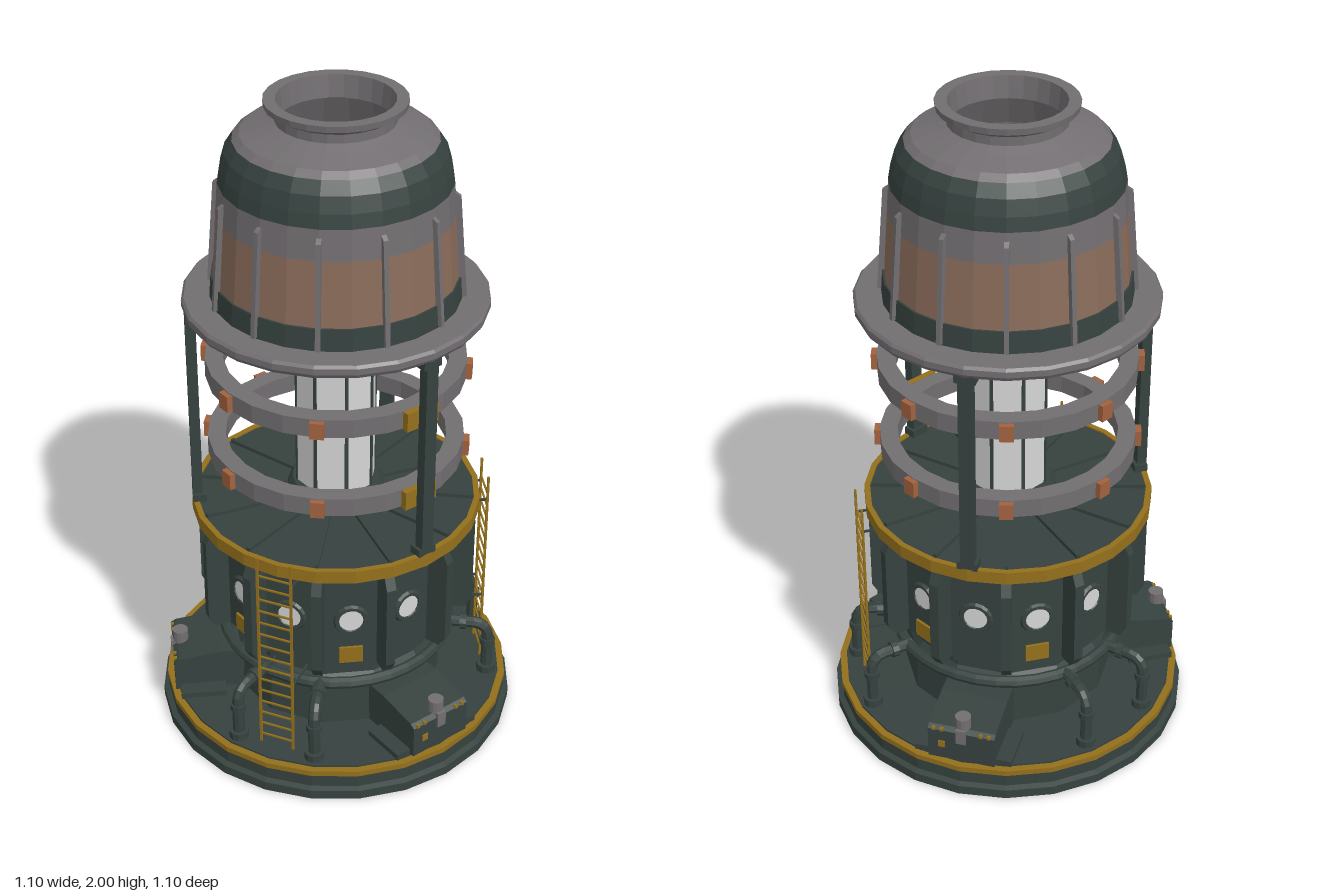
import * as THREE from 'three';

const mat = (name, color) => {
  const m = new THREE.MeshStandardMaterial({ color });
  m.name = name;
  return m;
};

export function createModel() {
  const dark = mat('dark green steel', 0x36423f);
  const grey = mat('grey metal', 0x726e71);
  const tan = mat('brown band', 0x8a6c5a);
  const gold = mat('gold trim', 0x94701c);
  const copper = mat('copper', 0xa3623f);
  const pale = mat('pale glass', 0xd6d6d6);

  const root = new THREE.Group();
  const DEG = Math.PI / 180;

  // Adds a flat-faceted mesh
  const add = (parent, name, geo, m, x = 0, y = 0, z = 0) => {
    const g = geo.index ? geo.toNonIndexed() : geo;
    g.computeVertexNormals();
    const mesh = new THREE.Mesh(g, m);
    mesh.name = name;
    mesh.position.set(x, y, z);
    parent.add(mesh);
    return mesh;
  };
  const lathe = (pts, sides = 24, start = 0) =>
    new THREE.LatheGeometry(pts.map(p => new THREE.Vector2(p[0], p[1])), sides, start * DEG);
  // Closed ring with a rectangular section
  const ring = (ri, ro, y0, y1, sides = 24) =>
    lathe([[ri, y0], [ro, y0], [ro, y1], [ri, y1], [ri, y0]], sides);
  const box = (w, h, d) => new THREE.BoxGeometry(w, h, d);
  const cyl = (r, h, n = 10) => new THREE.CylinderGeometry(r, r, h, n);
  // Radial plate given by (radius, height) points
  const fin = (pts, t) => {
    const s = new THREE.Shape(pts.map(p => new THREE.Vector2(p[0], p[1])));
    return new THREE.ExtrudeGeometry(s, { depth: t, bevelEnabled: false })
      .translate(0, 0, -t / 2).rotateY(-Math.PI / 2);
  };
  // Group whose local +z points outward at the given angle
  const spoke = (name, deg) => {
    const g = new THREE.Group();
    g.name = name;
    g.rotation.y = deg * DEG;
    root.add(g);
    return g;
  };
  const every = (n, start, fn) => {
    for (let i = 0; i < n; i++) fn(start + i * 360 / n, i);
  };

  // Stepped, hollow base
  add(root, 'base', lathe([[0.345, 0], [0.55, 0], [0.55, 0.03], [0.533, 0.035], [0.533, 0.075],
    [0.515, 0.08], [0.515, 0.1], [0.3, 0.1], [0.32, 0.06], [0.345, 0.05], [0.345, 0]]), dark);
  add(root, 'baseTrim', ring(0.512, 0.536, 0.076, 0.094), gold);

  // Lower body, then the twelve-sided drum with its inner wall
  add(root, 'lowerBody', lathe([[0.325, 0.1], [0.32, 0.24], [0.3, 0.27], [0.3, 0.3],
    [0.325, 0.305], [0.325, 0.345], [0.357, 0.35]], 12, 15), dark);
  add(root, 'drum', lathe([[0.357, 0.35], [0.357, 0.7], [0.4, 0.71], [0.425, 0.715]], 12, 15), dark);
  add(root, 'drumInside', lathe([[0.1, 0.75], [0.1, 0.7], [0.3, 0.69], [0.3, 0.1]]), dark);
  add(root, 'deck', lathe([[0.42, 0.712], [0.425, 0.747], [0.1, 0.75]]), dark);
  add(root, 'deckUnderside', lathe([[0.35, 0.7], [0.42, 0.712]]), dark);
  add(root, 'deckTrim', ring(0.415, 0.432, 0.712, 0.752), gold);
  add(root, 'columnFloor', cyl(0.09, 0.02, 24), dark, 0, 0.76, 0);

  // Windows between chamfered fins
  every(12, 0, (a, i) => {
    const w = spoke('windowBay', a);
    add(w, 'windowFrame', new THREE.TorusGeometry(0.043, 0.01, 6, 16), dark, 0, 0.515, 0.347);
    add(w, 'windowGlass', cyl(0.038, 0.008, 16).rotateX(Math.PI / 2), pale, 0, 0.515, 0.348);
    if (i % 2) add(w, 'warningPlate', box(0.07, 0.055, 0.008), gold, 0, 0.388, 0.349);
    const f = spoke('drumRib', a + 15);
    add(f, 'drumFin', fin([[0.3, 0.35], [0.4, 0.35], [0.422, 0.385], [0.422, 0.655],
      [0.4, 0.7], [0.3, 0.7]], 0.03), dark);
    add(f, 'deckRib', box(0.012, 0.012, 0.26), dark, 0, 0.754, 0.28);
  });

  // Pipe collar with three pairs of drop pipes
  add(root, 'pipeCollar', new THREE.TorusGeometry(0.35, 0.018, 8, 36).rotateX(Math.PI / 2), dark, 0, 0.28, 0);
  const path = new THREE.CatmullRomCurve3([[0.34, 0.28], [0.41, 0.28], [0.45, 0.277], [0.473, 0.255],
    [0.477, 0.21], [0.477, 0.1]].map(p => new THREE.Vector3(0, p[1], p[0])));
  [60, 180, 300].forEach(a => [-15, 15].forEach(o => {
    const p = spoke('dropPipe', a + o);
    add(p, 'pipe', new THREE.TubeGeometry(path, 16, 0.018, 8), dark);
    add(p, 'pipeFoot', cyl(0.03, 0.025), dark, 0, 0.112, 0.477);
    add(p, 'pipeJoint', cyl(0.024, 0.02), dark, 0, 0.215, 0.477);
    add(p, 'pipeSleeve', cyl(0.025, 0.02).rotateX(Math.PI / 2), dark, 0, 0.28, 0.4);
  }));

  // Equipment boxes and tall posts
  every(3, 0, a => {
    const b = spoke('equipment', a);
    add(b, 'plinth', box(0.3, 0.02, 0.14), dark, 0, 0.108, 0.43);
    add(b, 'equipmentBox', fin([[0.3, 0.1], [0.515, 0.1], [0.515, 0.205], [0.5, 0.215],
      [0.37, 0.235], [0.3, 0.235]], 0.205), dark);
    add(b, 'vent', cyl(0.024, 0.05, 12), grey, 0, 0.23, 0.49);
    add(b, 'ventBracket', box(0.03, 0.05, 0.016), grey, 0, 0.195, 0.513);
    add(b, 'label', box(0.02, 0.022, 0.006), gold, -0.06, 0.155, 0.516);
    [-0.085, -0.06, 0.06, 0.085].forEach(x =>
      add(b, 'knob', box(0.01, 0.01, 0.01), gold, x, 0.208, 0.512));
    const p = spoke('postSet', a);
    add(p, 'post', box(0.04, 0.64, 0.03), dark, 0, 1.07, 0.415);
    add(p, 'postFoot', box(0.06, 0.025, 0.04), dark, 0, 0.762, 0.41);
    add(p, 'postHead', box(0.06, 0.025, 0.04), dark, 0, 1.38, 0.41);
  });

  // Two ladders
  [60, -60].forEach(a => {
    const l = spoke('ladder', a);
    [-0.052, 0.052].forEach(x => {
      add(l, 'ladderRail', box(0.007, 0.68, 0.007), gold, x, 0.44, 0.455);
      [0.34, 0.7].forEach(y => add(l, 'ladderBracket', box(0.006, 0.006, 0.11), dark, x, y, 0.4));
    });
    for (let i = 0; i < 15; i++)
      add(l, 'ladderRung', box(0.104, 0.005, 0.005), gold, 0, 0.13 + i * 0.042, 0.455);
  });

  // Pale eight-sided column with dark seams and collars
  add(root, 'column', lathe([[0.12, 0.75], [0.12, 1.4]], 8, 22.5), pale);
  add(root, 'columnInside', lathe([[0.1, 1.4], [0.1, 0.75]], 24), pale);
  every(8, 22.5, a => add(spoke('columnSeam', a), 'seam', box(0.01, 0.6, 0.006), dark, 0, 1.07, 0.119));
  add(root, 'lowerCollar', lathe([[0.145, 0.75], [0.145, 0.775], [0.13, 0.8], [0.11, 0.8]]), dark);
  add(root, 'upperCollar', lathe([[0.11, 1.35], [0.125, 1.35], [0.145, 1.37], [0.145, 1.395]]), dark);

  // Two coil rings with copper clamps and a gold front block
  [0.935, 1.195].forEach(y => {
    add(root, 'coilRing', ring(0.325, 0.378, y - 0.028, y + 0.028), grey);
    every(8, 0, a => add(spoke('coilClamp', a), 'clamp', box(0.04, 0.05, 0.03), copper, 0, y, 0.378));
    add(root, 'coilBlock', box(0.11, 0.058, 0.02), gold, 0, y, 0.385);
  });

  // Hood flange, floor and coloured shell bands
  add(root, 'hoodFloor', lathe([[0.1, 1.388], [0.425, 1.388], [0.425, 1.402], [0.1, 1.402], [0.1, 1.388]]), dark);
  add(root, 'hoodFlange', lathe([[0.42, 1.388], [0.43, 1.388], [0.437, 1.4], [0.437, 1.418],
    [0.43, 1.426], [0.33, 1.426]]), grey);
  const bands = [
    ['hoodSkirt', dark, [[0.357, 1.426], [0.352, 1.49]]],
    ['hoodBrownBand', tan, [[0.346, 1.49], [0.332, 1.68]]],
    ['hoodGreyBand', grey, [[0.332, 1.68], [0.325, 1.77]]],
    ['hoodShoulder', dark, [[0.325, 1.77], [0.318, 1.81], [0.305, 1.855], [0.282, 1.89]]],
    ['hoodCrown', grey, [[0.282, 1.89], [0.262, 1.907], [0.2, 1.927], [0.166, 1.94], [0.166, 1.965],
      [0.195, 1.982], [0.197, 2], [0.163, 2]]],
    ['hoodInside', grey, [[0.163, 2], [0.155, 1.935], [0.26, 1.89], [0.3, 1.8], [0.325, 1.402]]],
  ];
  bands.forEach(([name, m, pts]) => add(root, name, lathe(pts), m));
  add(root, 'skirtLedge', lathe([[0.352, 1.49], [0.345, 1.49]]), dark);

  // Upright ribs on the hood
  every(12, 15, a => add(spoke('hoodRib', a), 'rib', fin([[0.33, 1.43], [0.367, 1.43], [0.365, 1.46],
    [0.342, 1.735], [0.32, 1.75]], 0.014), grey));

  return root;
}
